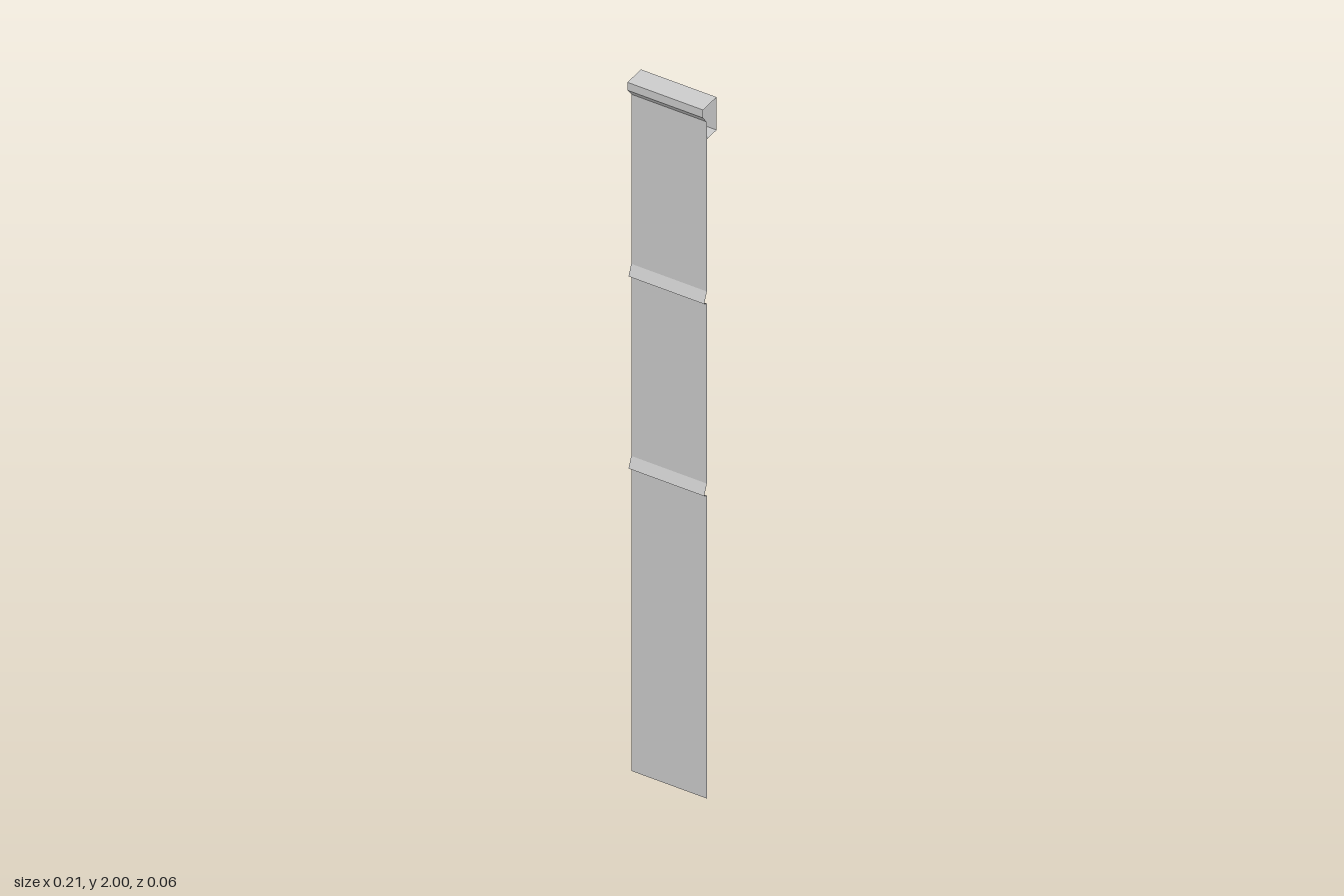
import * as THREE from 'three';

const WIDTH = 0.208;
const material = new THREE.MeshStandardMaterial({ color: 0xcccccc, side: THREE.DoubleSide, flatShading: true });

// Thin sheet: a [z, y] profile, listed top to bottom for a front face, swept across x
function sheet(name, profile) {
  const positions = [];
  const h = WIDTH / 2;
  for (let i = 0; i < profile.length - 1; i++) {
    const [z0, y0] = profile[i];
    const [z1, y1] = profile[i + 1];
    positions.push(-h, y0, z0, -h, y1, z1, h, y1, z1);
    positions.push(-h, y0, z0, h, y1, z1, h, y0, z0);
  }
  const geometry = new THREE.BufferGeometry();
  geometry.setAttribute('position', new THREE.Float32BufferAttribute(positions, 3));
  geometry.computeVertexNormals();
  const mesh = new THREE.Mesh(geometry, material);
  mesh.name = name;
  return mesh;
}

export function createModel() {
  const group = new THREE.Group();
  group.name = 'hangingBlind';
  const clothZ = 0.013;

  // Open-ended head rail: back, top, front lip, recessed front and bottom
  group.add(sheet('headRail', [
    [-0.03, 1.905], [-0.03, 2], [0.03, 2], [0.03, 1.977],
    [clothZ, 1.955], [clothZ, 1.905], [-0.03, 1.905],
  ]));

  // Cloth panels separated by small forward folds
  const folds = [[1.465, 1.43], [0.91, 0.875]];
  let top = 1.905;
  folds.forEach(([foldTop, foldBottom], i) => {
    group.add(sheet(`clothPanel${i + 1}`, [[clothZ, top], [clothZ, foldTop]]));
    group.add(sheet(`fold${i + 1}`, [
      [clothZ, foldTop], [clothZ + 0.012, foldBottom + 0.006], [clothZ, foldBottom],
    ]));
    top = foldBottom;
  });
  group.add(sheet('bottomPanel', [[clothZ, top], [clothZ, 0]]));
  return group;
}
